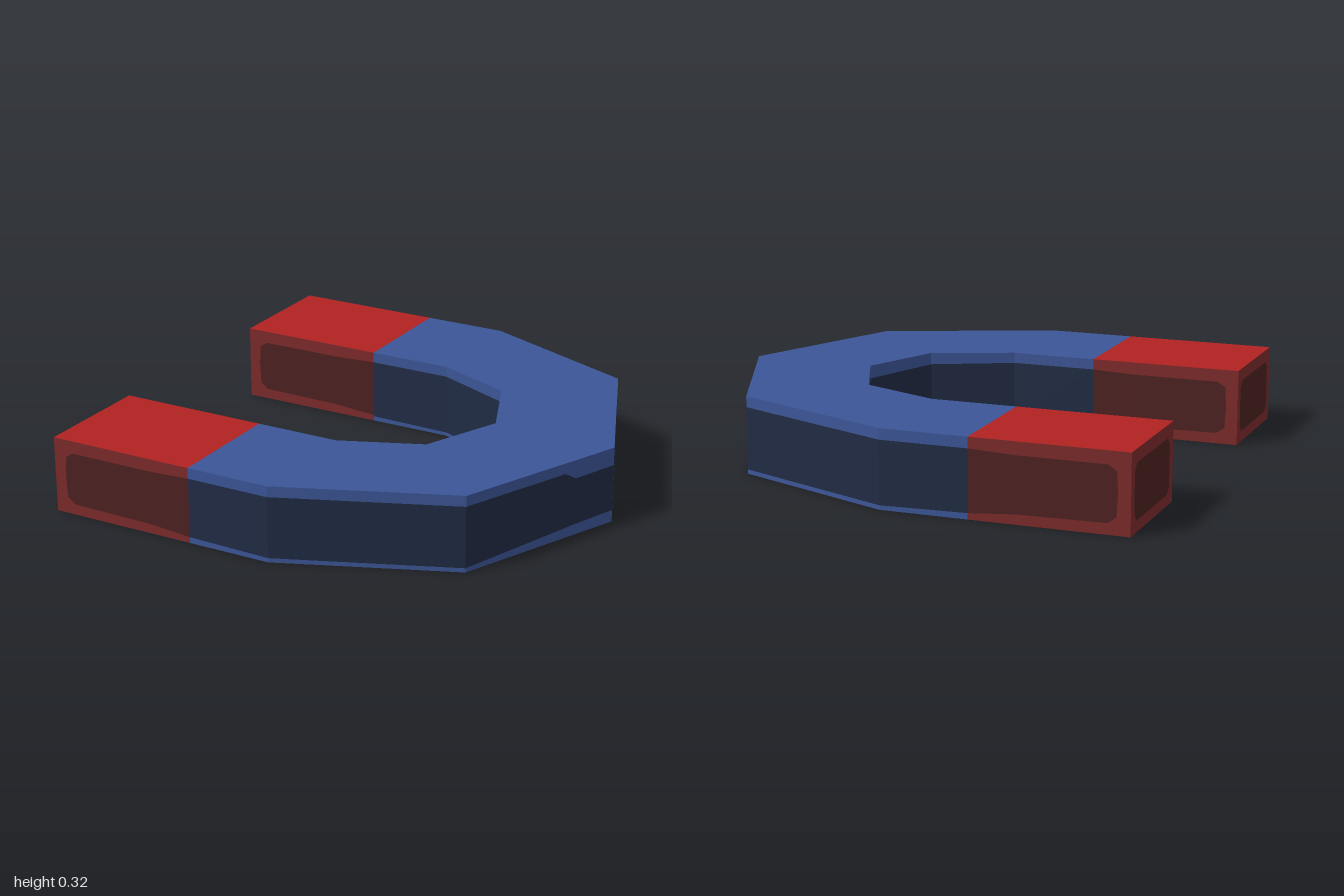
import * as THREE from 'three';

const H = 0.32, MID = H / 2;
const mat = (name, color) => Object.assign(new THREE.MeshStandardMaterial({ color }), { name });

export function createModel() {
  const red = mat('pole red', 0xb22222);
  const blue = mat('body blue', 0x3b5596);
  const rimRed = mat('pole rim red', 0x7c2a2a);
  const panelRed = mat('pole panel dark red', 0x4d2020);
  const panelBlue = mat('body panel dark blue', 0x202b43);
  const magnet = new THREE.Group();
  magnet.name = 'horseshoeMagnet';

  const add = (name, geometry, material) => {
    const mesh = new THREE.Mesh(geometry, material);
    mesh.name = name;
    magnet.add(mesh);
  };

  // One horizontal band of a wall; path points are [x, z, panelBottom, panelTop].
  // The outside lies to the right of the walking direction.
  const band = (path, low, high) => {
    const pos = [];
    for (let i = 0; i + 1 < path.length; i++) {
      const a = path[i], b = path[i + 1];
      const a0 = [a[0], low(a), a[1]], a1 = [a[0], high(a), a[1]];
      const b0 = [b[0], low(b), b[1]], b1 = [b[0], high(b), b[1]];
      if (b0[1] < b1[1]) pos.push(...a0, ...b0, ...b1);
      if (a0[1] < a1[1]) pos.push(...a0, ...b1, ...a1);
    }
    const g = new THREE.BufferGeometry();
    g.setAttribute('position', new THREE.Float32BufferAttribute(pos, 3));
    g.computeVertexNormals();
    return g;
  };

  // Wall with a dark panel between a lower and an upper rim
  const wall = (name, path, rim, panel) => {
    add(name + 'LowerRim', band(path, () => 0, p => p[2]), rim);
    add(name + 'Panel', band(path, p => p[2], p => p[3]), panel);
    add(name + 'UpperRim', band(path, p => p[3], () => H), rim);
  };
  // The same path on the other leg, walked the other way
  const mirror = path => path.map(([x, z, lo, hi]) => [x, -z, lo, hi]).reverse();

  // Top and bottom faces from an [x, z] outline
  const caps = (name, outline, material) => {
    const shape = new THREE.Shape(outline.map(([x, z]) => new THREE.Vector2(x, -z)));
    add(name + 'Top', new THREE.ShapeGeometry(shape).rotateX(-Math.PI / 2).translate(0, H, 0), material);
    const under = new THREE.Shape(outline.map(([x, z]) => new THREE.Vector2(x, z)));
    add(name + 'Bottom', new THREE.ShapeGeometry(under).rotateX(Math.PI / 2), material);
  };

  // Curved body: half paths from the pole joint to the bend's tip
  const outer = [
    [-0.36, 0.99, 0.025, 0.275], [0, 0.99, 0.018, 0.275], [0.705, 0.7, 0.018, 0.275],
    [0.9, 0.237, 0.042, 0.275], [0.922, 0.185, 0.045, 0.242], [1, 0, 0.05, 0.245],
  ];
  const inner = [
    [-0.36, 0.47, 0.02, 0.275], [0, 0.47, 0.015, 0.275],
    [0.335, 0.332, 0.02, 0.27], [0.475, 0, 0.03, 0.265],
  ];
  const outerPath = [...outer, ...mirror(outer).slice(1)];
  const innerPath = [...inner, ...mirror(inner).slice(1)];
  caps('body', [...outerPath, ...innerPath.slice().reverse()], blue);
  wall('bodyOuter', outerPath, blue, panelBlue);
  wall('bodyInner', innerPath.reverse(), blue, panelBlue);

  // Red poles, with panels inset from the free end
  const side = z => [
    [-1, z, MID, MID], [-0.95, z, MID, MID], [-0.945, z, 0.07, 0.245],
    [-0.91, z, 0.045, 0.267], [-0.55, z, 0.04, 0.267], [-0.36, z, 0.025, 0.275],
  ];
  const end = [
    [-1, 0.47, MID, MID], [-1, 0.51, MID, MID], [-1, 0.513, 0.07, 0.24],
    [-1, 0.54, 0.045, 0.267], [-1, 0.92, 0.045, 0.267], [-1, 0.947, 0.07, 0.24],
    [-1, 0.95, MID, MID], [-1, 0.99, MID, MID],
  ];
  for (const [name, s] of [['frontPole', 1], ['backPole', -1]]) {
    caps(name, s > 0
      ? [[-1, 0.99], [-0.36, 0.99], [-0.36, 0.47], [-1, 0.47]]
      : [[-1, -0.47], [-0.36, -0.47], [-0.36, -0.99], [-1, -0.99]], red);
    const outside = side(0.99), inside = side(0.47).reverse();
    wall(name + 'Outer', s > 0 ? outside : mirror(outside), rimRed, panelRed);
    wall(name + 'Inner', s > 0 ? inside : mirror(inside), rimRed, panelRed);
    wall(name + 'End', s > 0 ? end : mirror(end), rimRed, panelRed);
  }
  return magnet;
}
